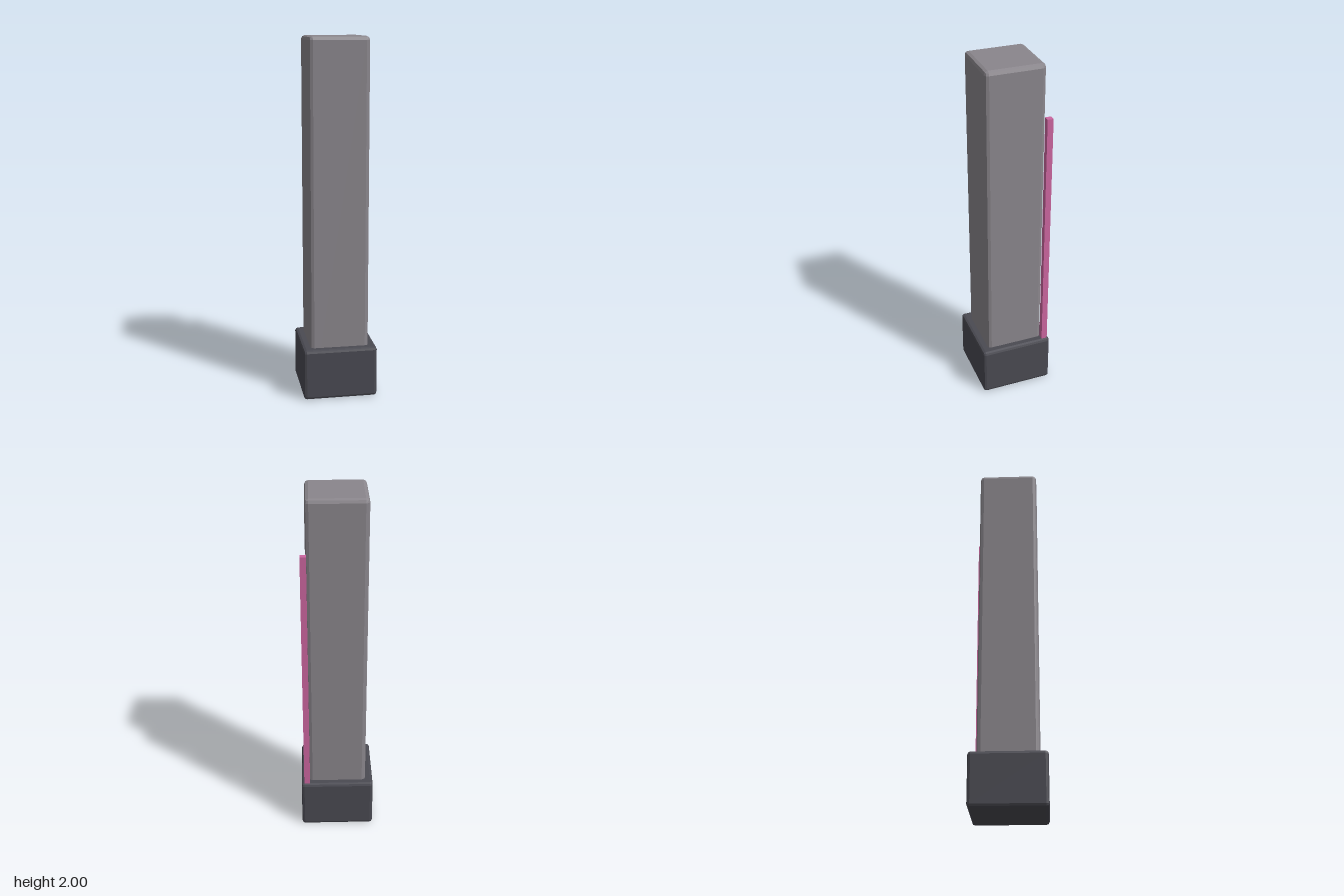
import * as THREE from 'three';
import { RoundedBoxGeometry } from 'three/addons/geometries/RoundedBoxGeometry.js';

const material = (name, color) => {
  const m = new THREE.MeshStandardMaterial({ color });
  m.name = name;
  return m;
};

// Square block between two heights, with faceted edges when a bevel is given
function block(name, width, bottom, top, bevel, mat) {
  const height = top - bottom;
  const geometry = bevel
    ? new RoundedBoxGeometry(width, height, width, 1, bevel)
    : new THREE.BoxGeometry(width, height, width);
  geometry.computeVertexNormals();
  const mesh = new THREE.Mesh(geometry, mat);
  mesh.name = name;
  mesh.position.y = (bottom + top) / 2;
  return mesh;
}

export function createModel() {
  const model = new THREE.Group();
  model.name = 'tower';

  const stone = material('warm grey', 0x8a868c);
  const darkStone = material('dark slate', 0x4a4a52);
  const pink = material('pink', 0xcc66a0);

  // Wide plinth and the tall shaft standing inside it
  model.add(block('plinth', 0.414, 0, 0.29, 0.016, darkStone));
  model.add(block('shaft', 0.328, 0.01, 2, 0.021, stone));

  // Thin light strip on the back left corner
  const strip = block('cornerStrip', 0.033, 0.27, 1.71, 0, pink);
  strip.position.x = 0.175;
  strip.position.z = -0.177;
  model.add(strip);

  return model;
}
